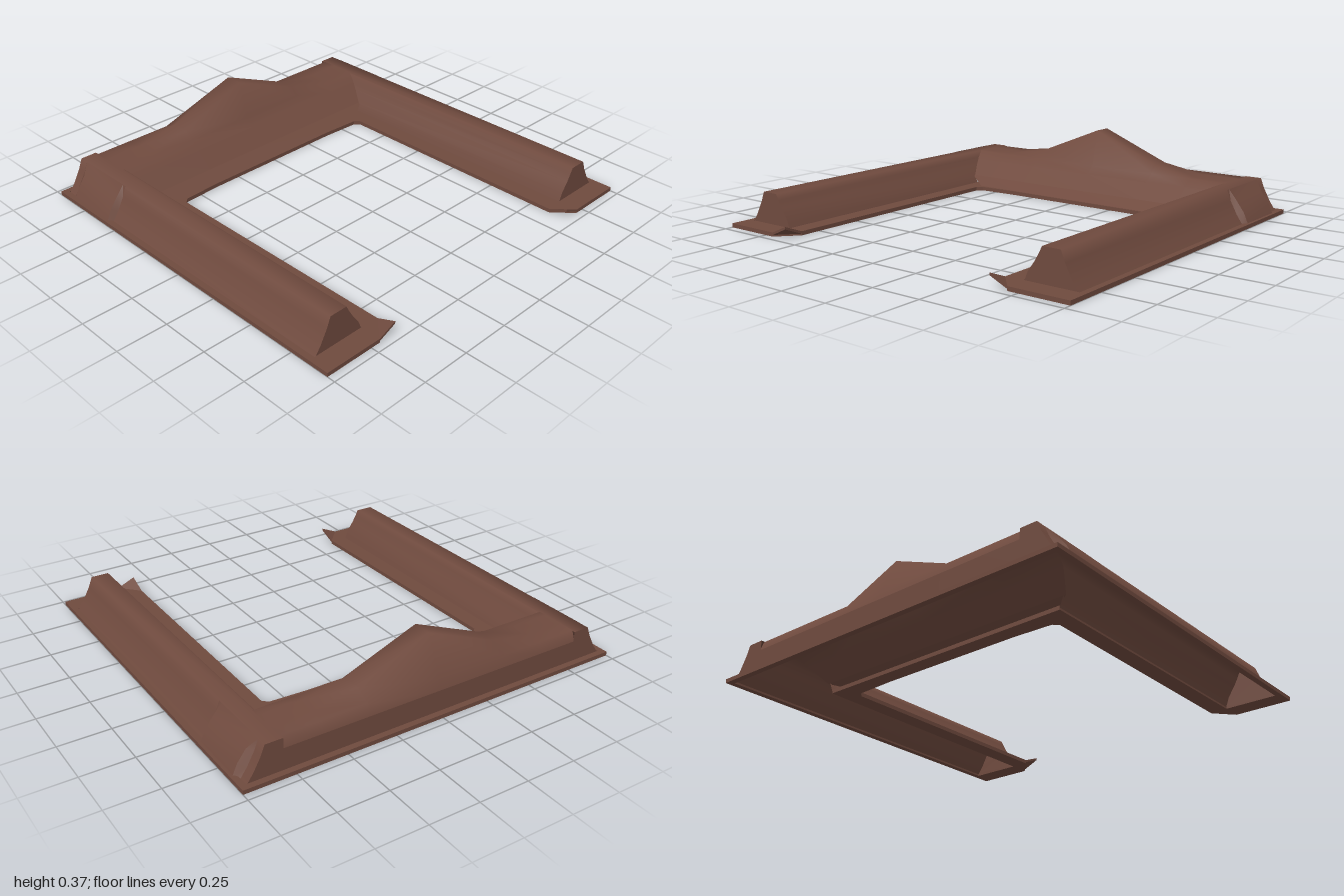
import * as THREE from 'three';
import { toCreasedNormals } from 'three/addons/utils/BufferGeometryUtils.js';

const earth = new THREE.MeshStandardMaterial({ color: 0x6f4a3e, side: THREE.DoubleSide });
earth.name = 'brown earth';

// Skin over a grid of points: rows[i][j] = [x, y, z]
function skin(rows, crease = 1.4) {
  const n = rows[0].length, index = [];
  for (let i = 0; i < rows.length - 1; i++) {
    for (let j = 0; j < n - 1; j++) {
      const a = i * n + j, b = a + n;
      index.push(a, b, a + 1, b, b + 1, a + 1);
    }
  }
  const g = new THREE.BufferGeometry();
  g.setAttribute('position', new THREE.Float32BufferAttribute(rows.flat(2), 3));
  g.setIndex(index);
  return toCreasedNormals(g, crease);
}

const polygon = (points) => new THREE.Shape(points.map(([x, y]) => new THREE.Vector2(x, y)));

export function createModel() {
  const model = new THREE.Group();
  model.name = 'embankment';
  const add = (name, geometry) => {
    const mesh = new THREE.Mesh(geometry, earth);
    mesh.name = name;
    model.add(mesh);
    return mesh;
  };

  // Thin U-shaped skirt, open beneath the banks (shape y is -z)
  const half = [[0.39, 0.47], [0.59, 0.46], [0.615, 0.435], [0.61, -0.86], [0.70, -0.96], [1, -0.96], [1, 0.96]];
  const mirror = (pts) => pts.map(([x, y]) => [-x, y]).reverse();
  const outline = polygon([...half, ...mirror(half)]);
  const foot = [[0.70, 0.55], [0.70, -0.855], [0.97, -0.855], [0.97, 0.93]];
  outline.holes.push(polygon([...foot, ...mirror(foot)]));
  const skirt = new THREE.ExtrudeGeometry(outline, { depth: 0.02, bevelEnabled: false });
  skirt.rotateX(-Math.PI / 2);
  add('skirt', skirt);

  // Back bank: cross-section [z, y, end x], rising to a central peak
  const heights = [[0, 0.365], [0.37, 0.215], [0.6, 0.176], [0.8, 0.176]];
  const stations = [...heights.slice(1).reverse().map(([x, h]) => [-x, h]), ...heights];
  const section = (h) => [
    [-0.475, 0.018, 0.61], [-0.55, 0.06, 0.735], [-0.64, 0.135, 0.79], [-0.69, 0.175, 0.8],
    [-0.735, h, 0.8], [-0.83, h, 0.8], [-0.91, 0.175, 0.8], [-0.93, 0.125, 0.8], [-0.93, 0.01, 0.8],
  ];
  const bank = (from, to) => skin(stations.map(([x, h]) =>
    section(h).slice(from, to + 1).map(([z, y, end]) => [THREE.MathUtils.clamp(x, -end, end), y, z])));
  add('backBankToe', bank(0, 1));
  add('backBankStep', bank(1, 2));
  add('backBankCrest', bank(2, 7));
  add('backBankRear', bank(7, 8));

  // Side banks: profile [x, y, rear z], mitred into the back bank
  const profile = [
    [0.70, 0.01, -0.55], [0.72, 0.06, -0.55], [0.755, 0.11, -0.61], [0.775, 0.145, -0.65], [0.79, 0.175, -0.69],
    [0.795, 0.175, -0.93], [0.88, 0.175, -0.93], [0.90, 0.125, -0.93], [0.935, 0.06, -0.93], [0.97, 0.01, -0.93],
  ];
  // Buttress profile, thicker than the outer slope
  const thick = [[0.88, 0.176], [0.922, 0.125], [0.963, 0.07], [0.99, 0.01]];
  for (const s of [-1, 1]) {
    const side = s > 0 ? 'left' : 'right';
    const at = (points, z) => points.map(([x, y]) => [s * x, y, z]);
    add(side + 'Bank', skin([at(profile, 0.855), profile.map(([x, y, z]) => [s * x, y, z])]));

    // End walls
    add(side + 'FrontEnd', new THREE.ShapeGeometry(polygon(at(profile, 0)))).position.z = 0.855;
    const rear = [[0.79, 0.01], ...profile.slice(5)];
    add(side + 'RearEnd', new THREE.ShapeGeometry(polygon(at(rear, 0)))).position.z = -0.93;

    // Buttress on the outer rear corner, tapering into the slope
    const slope = profile.slice(6);
    add(side + 'Buttress', skin([at(slope, -0.55), at(thick, -0.57), at(thick, -0.85), at(slope, -0.88)], 0.5));

    // Upturned inner front corner of the skirt
    const corner = (drop) => [[s * 0.70, 0.02 - drop, 0.96], [s * 0.61, 0.06 - drop, 0.96], [s * 0.61, 0.02 - drop, 0.86], [s * 0.70, 0.02 - drop, 0.96]];
    const middle = (drop) => Array(4).fill([s * 0.64, 0.033 - drop, 0.927]);
    add(side + 'Lip', skin([middle(0), corner(0), corner(0.012), middle(0.012)], 0.6));
  }
  return model;
}
